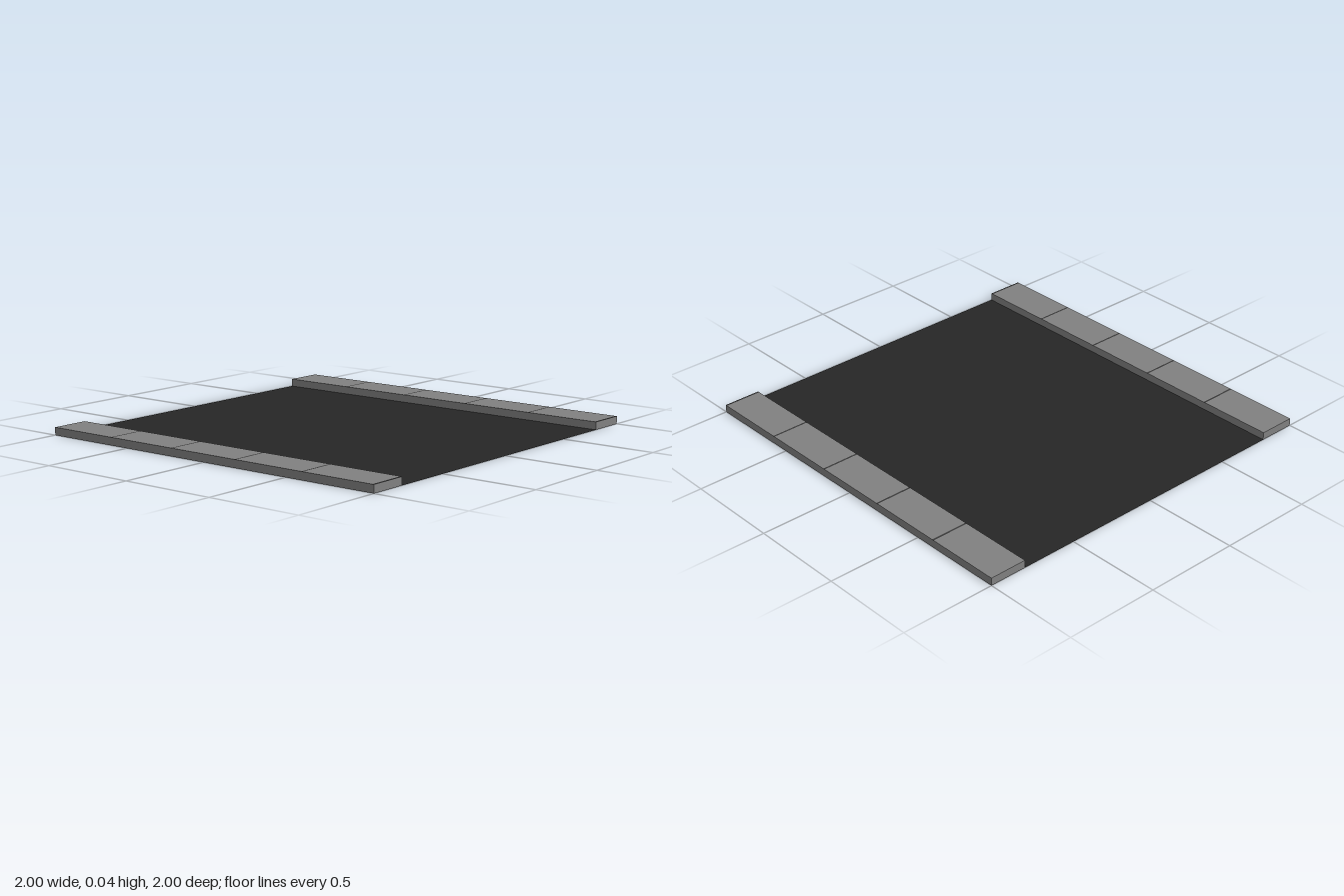
import * as THREE from 'three';

const HEIGHT = 0.04, ROAD = 1.6, CURB = 0.2, LENGTH = 2, SLABS = 5, JOINT = 0.01;

const material = (color) =>
  new THREE.MeshStandardMaterial({ color, side: THREE.DoubleSide, flatShading: true });

// Thin flat panel, turned to face up or sideways
function panel(name, w, h, mat, position, rx = 0, ry = 0) {
  const mesh = new THREE.Mesh(new THREE.PlaneGeometry(w, h), mat);
  mesh.name = name;
  mesh.position.set(...position);
  mesh.rotation.set(rx, ry, 0);
  return mesh;
}

// Hollow kerb, open underneath, with paving slabs on top
function createSidewalk(name, x, stone, dark) {
  const group = new THREE.Group();
  group.name = name;
  const up = -Math.PI / 2;
  const pitch = LENGTH / SLABS;

  // Slabs, each followed by a dark joint
  for (let i = 0; i < SLABS; i++) {
    const z = -LENGTH / 2 + i * pitch;
    group.add(
      panel('slab', CURB, pitch - JOINT, stone, [x, HEIGHT, z + (pitch - JOINT) / 2], up),
      panel('joint', CURB, JOINT, dark, [x, HEIGHT, z + pitch - JOINT / 2], up)
    );
  }

  // Long side walls and end walls
  for (const s of [-1, 1]) {
    group.add(
      panel('sideWall', LENGTH, HEIGHT, stone, [x + s * CURB / 2, HEIGHT / 2, 0], 0, s * Math.PI / 2),
      panel('endWall', CURB, HEIGHT, stone, [x, HEIGHT / 2, s * LENGTH / 2], 0, s > 0 ? 0 : Math.PI)
    );
  }
  return group;
}

export function createModel() {
  const model = new THREE.Group();
  model.name = 'roadSection';
  const asphalt = material(0x262626);
  const stone = material(0x808080);
  const dark = material(0x3a3a3a);

  // Road surface
  model.add(panel('roadSurface', ROAD, LENGTH, asphalt, [0, 0, 0], -Math.PI / 2));

  // Sidewalks on both sides
  const x = (ROAD + CURB) / 2;
  model.add(createSidewalk('leftSidewalk', x, stone, dark));
  model.add(createSidewalk('rightSidewalk', -x, stone, dark));
  return model;
}
